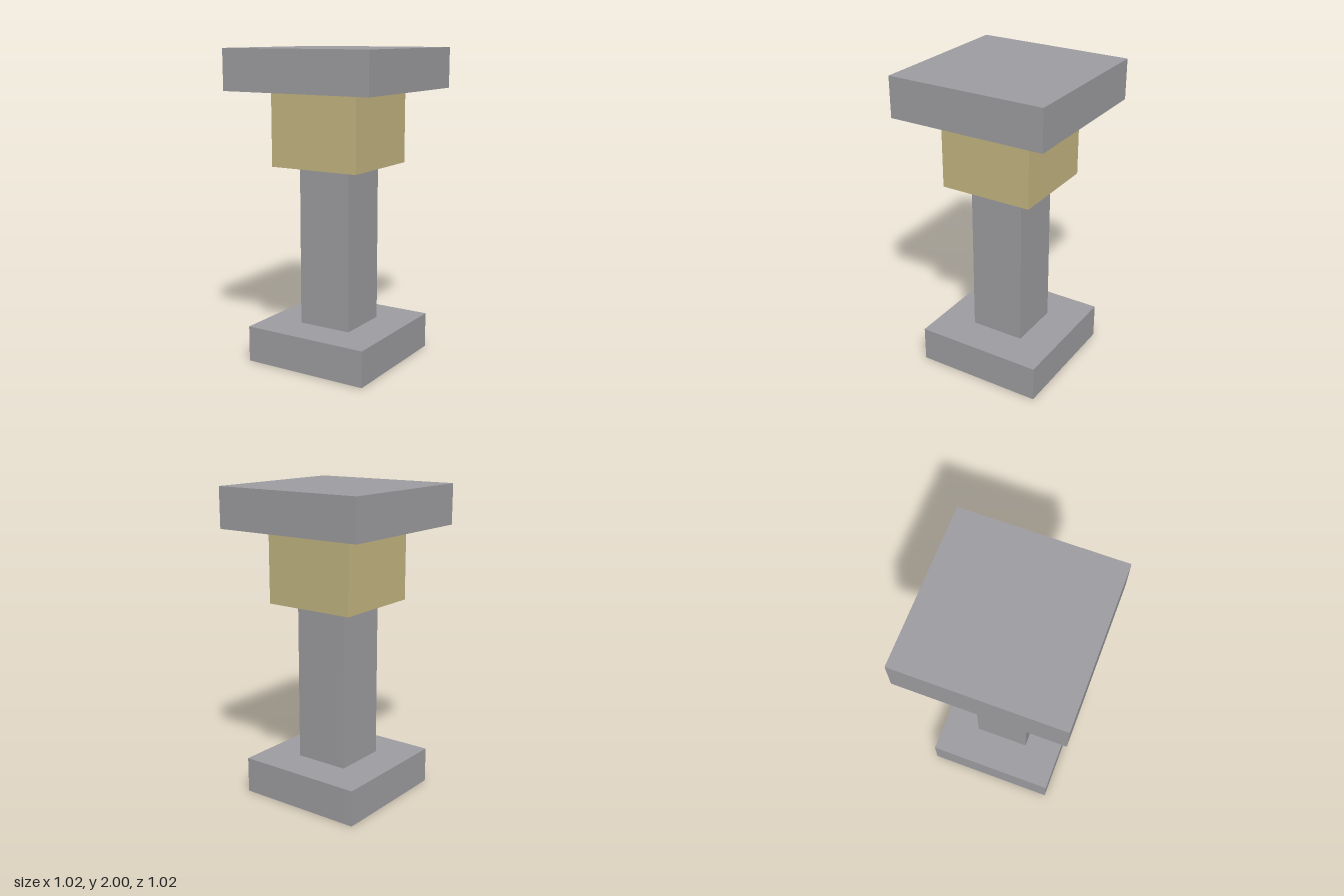
import * as THREE from 'three';

export function createModel() {
  const model = new THREE.Group();
  model.name = 'pedestal';

  const stone = new THREE.MeshStandardMaterial({ color: 0xa0a0a4 });
  stone.name = 'grey stone';
  const sand = new THREE.MeshStandardMaterial({ color: 0xc7b983 });
  sand.name = 'sand yellow';

  // Square block of a given width, spanning two heights
  function addBlock(name, width, bottom, top, material) {
    const mesh = new THREE.Mesh(new THREE.BoxGeometry(width, top - bottom, width), material);
    mesh.name = name;
    mesh.position.y = (bottom + top) / 2;
    model.add(mesh);
  }

  addBlock('base', 0.844, 0, 0.232, stone);
  addBlock('shaft', 0.36, 0.232, 1.267, stone);
  addBlock('collar', 0.61, 1.267, 1.732, sand);
  // The cap floats just clear of the collar
  addBlock('cap', 1.024, 1.742, 2, stone);

  return model;
}
